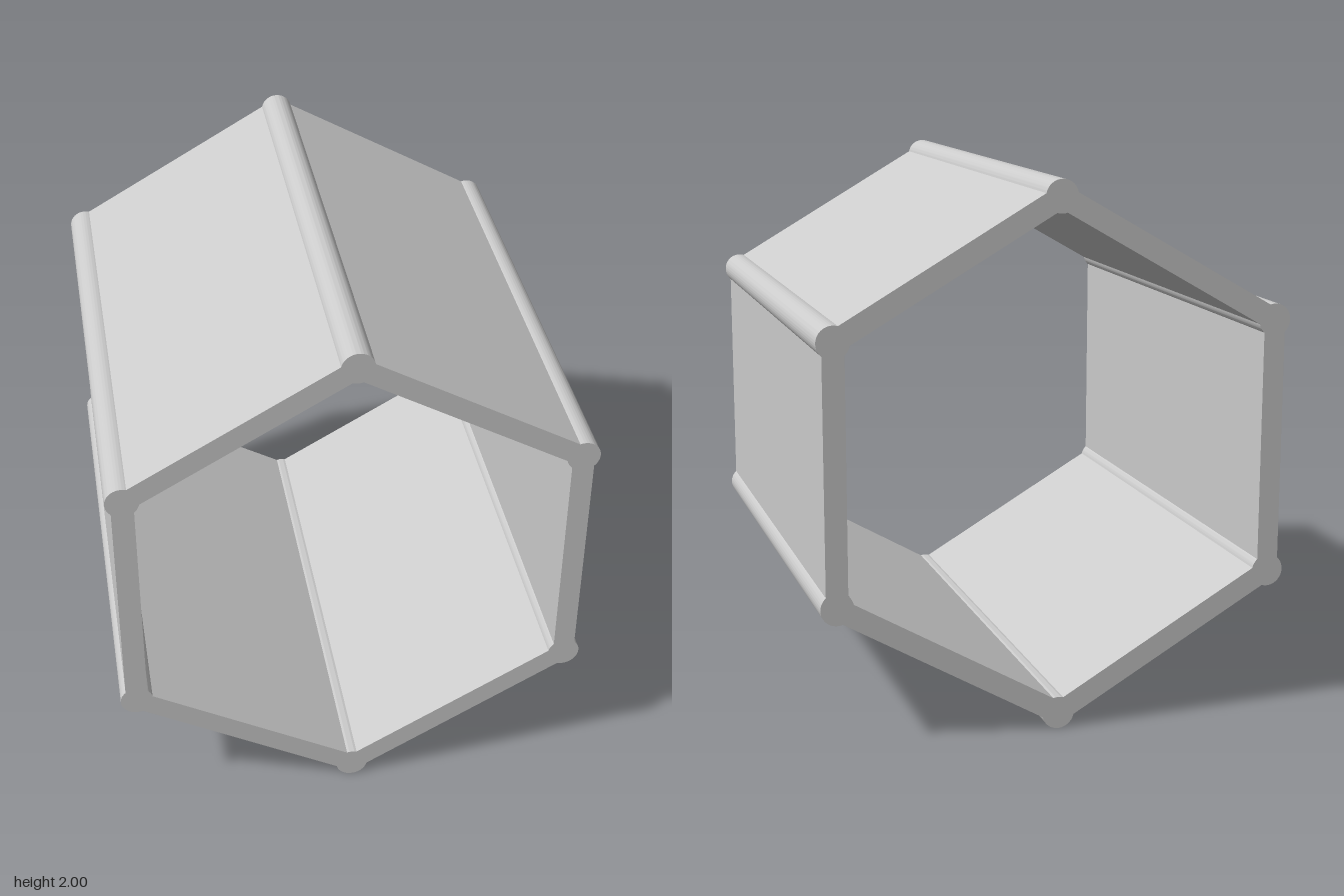
import * as THREE from 'three';
import { toCreasedNormals } from 'three/addons/utils/BufferGeometryUtils.js';

const CORNER = 0.94;   // distance from the axis to each corner bead
const BEAD = 0.06;     // radius of the corner beads
const WALL = 0.08;     // wall thickness
const LENGTH = 1.88;

// Outline of six bead arcs joined by straight walls
function traceOutline(path, facing, halfSweep, clockwise) {
  for (let i = 0; i < 6; i++) {
    const corner = Math.PI / 2 + i * Math.PI / 3;
    const middle = corner + facing;
    const sweep = clockwise ? -halfSweep : halfSweep;
    path.absarc(CORNER * Math.cos(corner), CORNER * Math.sin(corner), BEAD,
      middle - sweep, middle + sweep, clockwise);
  }
  path.closePath();
  return path;
}

export function createModel() {
  const group = new THREE.Group();
  group.name = 'hexagonalTube';

  // Angle at the bead centre between a wall's midline and its surface
  const meet = Math.asin(WALL / 2 / BEAD);

  // Outer skin bulges outward at the corners, the bore has small inward beads
  const section = traceOutline(new THREE.Shape(), 0, Math.PI * 2 / 3 - meet, false);
  section.holes.push(traceOutline(new THREE.Path(), Math.PI, Math.PI / 3 - meet, true));

  const extruded = new THREE.ExtrudeGeometry(section, {
    depth: LENGTH, bevelEnabled: false, curveSegments: 24,
  });
  extruded.translate(0, CORNER + BEAD, -LENGTH / 2);

  const tube = new THREE.Mesh(
    toCreasedNormals(extruded, 0.5),
    new THREE.MeshStandardMaterial({ color: 0xcccccc }),
  );
  tube.name = 'beadedTubeWall';
  group.add(tube);
  return group;
}
